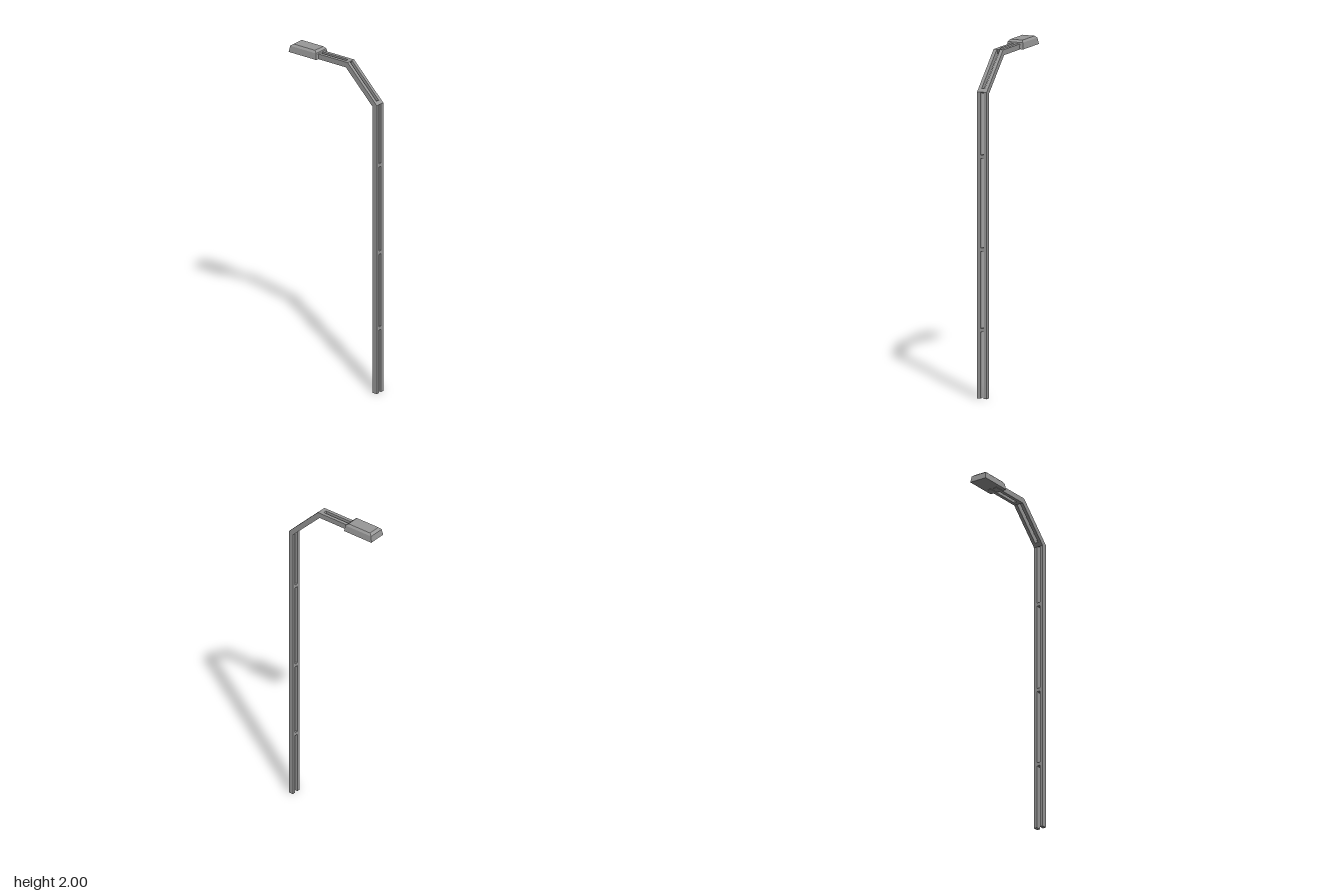
import * as THREE from 'three';

const steel = new THREE.MeshStandardMaterial({ color: 0x999999 });
steel.name = 'grey steel';

// Extrudes a side profile of [z, y] points across the x axis.
function sidePlate(name, points, width, x = 0) {
  const shape = new THREE.Shape(points.map(([z, y]) => new THREE.Vector2(z, y)));
  const geometry = new THREE.ExtrudeGeometry(shape, { depth: width, bevelEnabled: false });
  geometry.translate(0, 0, -width / 2);
  geometry.rotateY(-Math.PI / 2);
  const mesh = new THREE.Mesh(geometry, steel);
  mesh.name = name;
  mesh.position.x = x;
  return mesh;
}

// Lamp head: a box whose three levels narrow towards the top.
function lampHead() {
  const levels = [
    { y: 1.951, x: 0.054, back: -0.308, front: -0.11 },
    { y: 1.988, x: 0.048, back: -0.302, front: -0.116 },
    { y: 2.0, x: 0.038, back: -0.286, front: -0.131 },
  ];
  const box = new THREE.BoxGeometry(2, 2, 2, 1, 2, 1);
  const p = box.attributes.position;
  for (let i = 0; i < p.count; i++) {
    const level = levels[Math.round(p.getY(i)) + 1];
    p.setXYZ(i, p.getX(i) * level.x, level.y, p.getZ(i) > 0 ? level.front : level.back);
  }
  const geometry = box.toNonIndexed();
  geometry.computeVertexNormals();
  const mesh = new THREE.Mesh(geometry, steel);
  mesh.name = 'lampHead';
  return mesh;
}

export function createModel() {
  const model = new THREE.Group();
  model.name = 'streetLamp';

  // Mitre corners of the two bends, as [z, y]
  const lowOuter = [0.308, 1.768], lowInner = [0.278, 1.755];
  const highOuter = [0.098, 1.98], highInner = [0.085, 1.948];
  const armEnd = -0.17;

  // Twin bent rails
  const profile = [
    [0.278, 0], [0.308, 0], lowOuter, highOuter,
    [armEnd, 1.98], [armEnd, 1.948], highInner, lowInner,
  ];
  for (const side of [-1, 1]) {
    model.add(sidePlate(side > 0 ? 'leftRail' : 'rightRail', profile, 0.02, side * 0.02));
  }

  // Spacers that fill the gap just past each bend
  const shifted = ([z, y], dz, dy) => [z + dz, y + dy];
  const spacer = (name, outer, inner, dz, dy) =>
    model.add(sidePlate(name, [outer, shifted(outer, dz, dy), shifted(inner, dz, dy), inner], 0.02));
  spacer('lowerBendSpacer', lowOuter, lowInner, -0.018, 0.018);
  spacer('upperBendSpacer', highOuter, highInner, -0.027, 0);

  // Spacers along the post
  for (const y of [0.395, 0.86, 1.395]) {
    const rung = new THREE.Mesh(new THREE.BoxGeometry(0.02, 0.02, 0.03), steel);
    rung.name = 'postSpacer';
    rung.position.set(0, y, 0.293);
    model.add(rung);
  }

  model.add(lampHead());
  return model;
}
